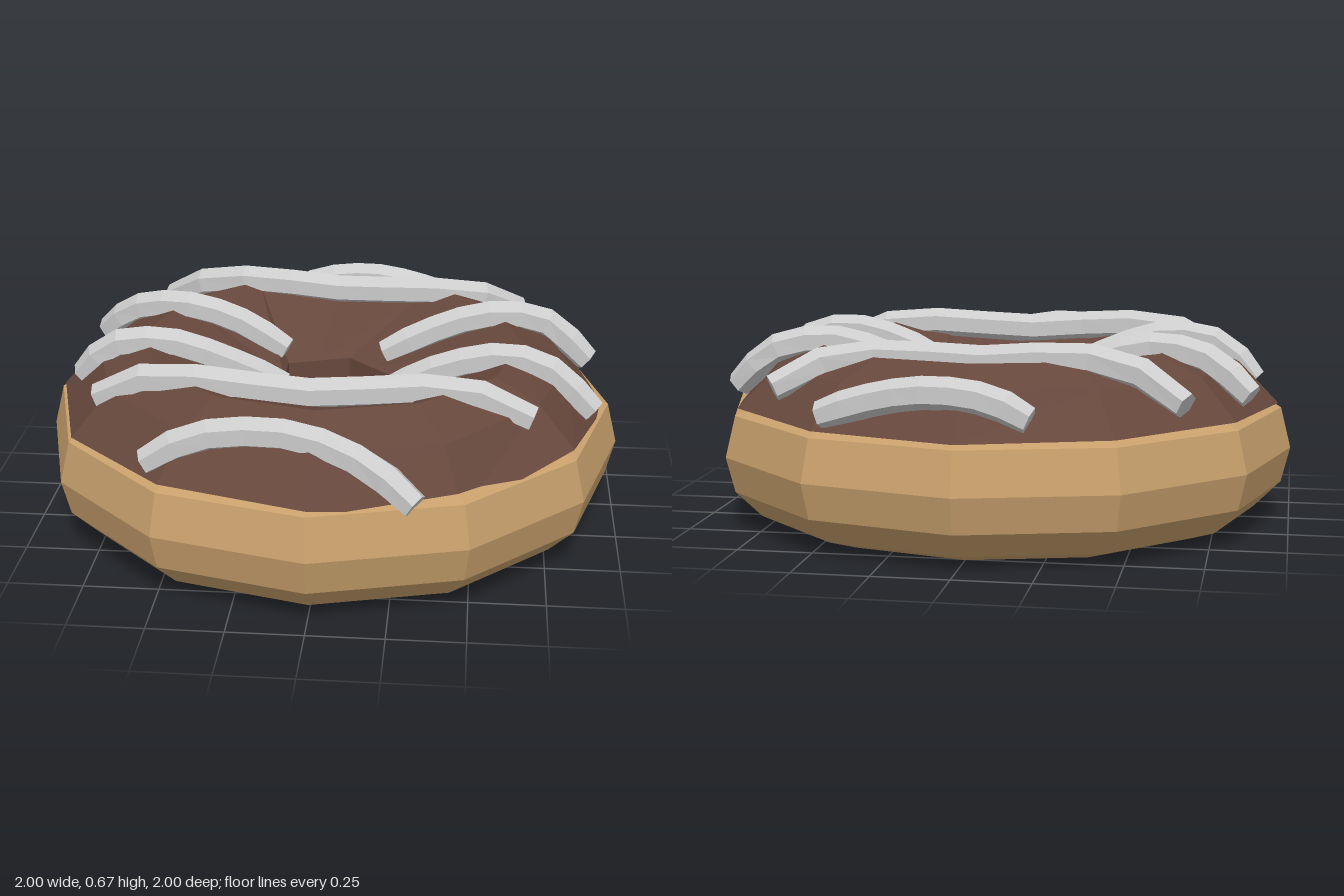
import * as THREE from 'three';

const SIDES = 12;
// corners of the uneven six-sided hole (x, z)
const HOLE = [[0.21, -0.08], [0.16, 0.13], [-0.04, 0.18], [-0.17, 0.08], [-0.17, -0.18], [0.04, -0.25]];
// height offsets that make the icing's lower edge wavy
const WAVE = [-0.025, 0.02, -0.045, 0, 0.01, 0, 0, 0.01, 0.005, 0, 0.005, 0.01];

// joins cross-sections (arrays of Vector3) into a faceted skin
function loft(rings, { loop = false, caps = false } = {}) {
  const n = rings[0].length, m = rings.length, pos = [];
  const tri = (...pts) => pts.forEach((p) => pos.push(p.x, p.y, p.z));
  for (let j = 0; j < (loop ? m : m - 1); j++) {
    const A = rings[j], B = rings[(j + 1) % m];
    for (let i = 0; i < n; i++) {
      const k = (i + 1) % n;
      tri(A[i], B[i], A[k]);
      tri(A[k], B[i], B[k]);
    }
  }
  if (caps) {
    const A = rings[0], B = rings[m - 1];
    for (let i = 1; i < n - 1; i++) {
      tri(A[0], A[i], A[i + 1]);
      tri(B[0], B[i + 1], B[i]);
    }
  }
  const geo = new THREE.BufferGeometry();
  geo.setAttribute('position', new THREE.Float32BufferAttribute(pos, 3));
  geo.computeVertexNormals();
  return geo;
}

// round twelve-sided ring, optionally wavy in height
function roundRing(r, y, wave = 0) {
  return Array.from({ length: SIDES }, (_, i) => {
    const a = (i / SIDES) * Math.PI * 2;
    return new THREE.Vector3(r * Math.cos(a), y + wave * WAVE[i], r * Math.sin(a));
  });
}

// ring around the hole: six corners with midpoints between them
function holeRing(scale, y) {
  return Array.from({ length: SIDES }, (_, i) => {
    const p = HOLE[i >> 1], q = HOLE[((i + 1) >> 1) % 6];
    return new THREE.Vector3(scale * (p[0] + q[0]) / 2, y, scale * (p[1] + q[1]) / 2);
  });
}

// six-sided strand swept along a smooth path, kept upright
function strand(points) {
  const curve = new THREE.CatmullRomCurve3(points.map((p) => new THREE.Vector3(...p)));
  const steps = 8, up = new THREE.Vector3(0, 1, 0), rings = [];
  for (let j = 0; j <= steps; j++) {
    const c = curve.getPointAt(j / steps), d = curve.getTangentAt(j / steps);
    const s = new THREE.Vector3().crossVectors(d, up).normalize();
    const u = new THREE.Vector3().crossVectors(s, d);
    const r = j === 0 || j === steps ? 0.045 : 0.053;
    rings.push(Array.from({ length: 6 }, (_, i) => {
      const a = Math.PI / 6 + (i * Math.PI) / 3;
      return c.clone().addScaledVector(s, r * Math.cos(a)).addScaledVector(u, r * Math.sin(a));
    }));
  }
  return loft(rings, { caps: true });
}

export function createModel() {
  const group = new THREE.Group();
  const mat = (color) => new THREE.MeshStandardMaterial({ color, flatShading: true });
  const add = (name, geo, material) => {
    const mesh = new THREE.Mesh(geo, material);
    mesh.name = name;
    group.add(mesh);
  };

  // dough ring, from the hole's bottom edge outwards, over the top and back
  add('dough', loft([
    holeRing(1.32, 0.03), roundRing(0.68, 0.02), roundRing(0.76, 0), roundRing(0.88, 0.04),
    roundRing(0.97, 0.13), roundRing(1, 0.25), roundRing(0.965, 0.39), roundRing(0.88, 0.42),
    roundRing(0.65, 0.53), holeRing(1.5, 0.38), holeRing(1.12, 0.25),
  ], { loop: true }), mat(0xc8a06c));

  // icing shell with a wavy rim, dipping down into the hole
  add('icing', loft([
    roundRing(0.88, 0.4, 1), roundRing(0.955, 0.405, 1), roundRing(0.82, 0.545, 0.3), roundRing(0.655, 0.61),
    holeRing(1.03, 0.43), holeRing(1, 0.24), holeRing(1.2, 0.24), roundRing(0.65, 0.5),
  ], { loop: true }), mat(0x66473c));

  // drizzle strands across the icing
  const drizzle = mat(0xcccccc);
  [
    [[-0.53, 0.45, 0.74], [-0.37, 0.54, 0.74], [-0.1, 0.575, 0.765], [0.08, 0.54, 0.79], [0.23, 0.47, 0.83], [0.33, 0.4, 0.88]],
    [[-0.75, 0.52, 0.39], [-0.55, 0.61, 0.42], [-0.3, 0.61, 0.46], [0, 0.59, 0.47], [0.3, 0.61, 0.45], [0.5, 0.6, 0.45], [0.69, 0.53, 0.48]],
    [[-0.87, 0.47, 0.08], [-0.75, 0.59, 0.1], [-0.55, 0.615, 0.115], [-0.35, 0.55, 0.11], [-0.16, 0.46, 0.09]],
    [[0.19, 0.46, 0.13], [0.4, 0.57, 0.15], [0.6, 0.615, 0.16], [0.75, 0.58, 0.175], [0.9, 0.45, 0.21]],
    [[-0.87, 0.48, -0.35], [-0.74, 0.585, -0.3], [-0.55, 0.62, -0.25], [-0.35, 0.57, -0.23], [-0.18, 0.48, -0.2]],
    [[0.17, 0.47, -0.22], [0.35, 0.56, -0.23], [0.55, 0.62, -0.24], [0.75, 0.59, -0.26], [0.9, 0.46, -0.24]],
    [[-0.68, 0.5, -0.69], [-0.55, 0.58, -0.62], [-0.35, 0.62, -0.56], [0, 0.6, -0.53], [0.3, 0.61, -0.51], [0.5, 0.59, -0.54], [0.66, 0.51, -0.62]],
    [[-0.22, 0.47, -0.87], [-0.1, 0.525, -0.86], [0.1, 0.545, -0.85], [0.3, 0.51, -0.83], [0.45, 0.46, -0.82]],
  ].forEach((path, i) => add(`drizzle${i + 1}`, strand(path), drizzle));

  return group;
}
